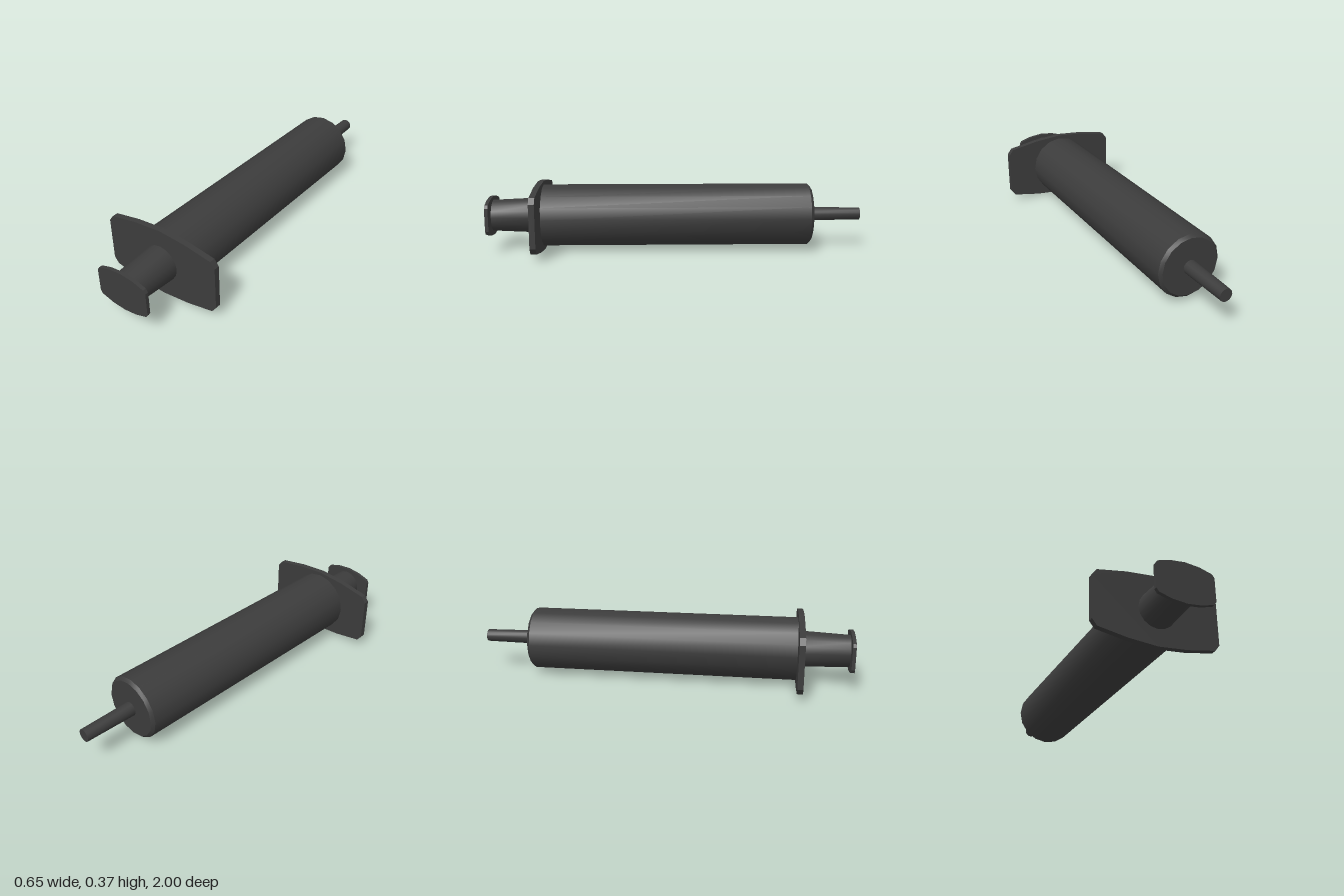
import * as THREE from 'three';
import { toCreasedNormals } from 'three/addons/utils/BufferGeometryUtils.js';

const AXIS_Y = 0.186;

export function createModel() {
  const group = new THREE.Group();
  const material = new THREE.MeshStandardMaterial({ color: 0x3c3c3c });

  const add = (name, geometry) => {
    const mesh = new THREE.Mesh(geometry, material);
    mesh.name = name;
    mesh.position.y = AXIS_Y;
    group.add(mesh);
  };

  // Round part along z, from [radius, z] pairs running back to front
  const turned = (profile, sides) => {
    const points = profile.map(([r, z]) => new THREE.Vector2(r, z));
    const geometry = new THREE.LatheGeometry(points, sides).rotateX(Math.PI / 2);
    return toCreasedNormals(geometry, 0.6);
  };

  // Plate with bowed top and bottom and clipped corners, from one quarter outline
  const plate = (quarter, z0, z1) => {
    const [top, ...rest] = quarter;
    const right = [...quarter, ...rest.map(([x, y]) => [x, -y]).reverse(), [top[0], -top[1]]];
    const left = right.slice(1, -1).map(([x, y]) => [-x, y]).reverse();
    const shape = new THREE.Shape([...right, ...left].map(([x, y]) => new THREE.Vector2(x, y)));
    return new THREE.ExtrudeGeometry(shape, { depth: z1 - z0, bevelEnabled: false }).translate(0, 0, z0);
  };

  // Barrel with a chamfered back end
  add('barrel', turned([[0, -0.725], [0.152, -0.725], [0.167, -0.71], [0.167, 0.72], [0, 0.72]], 16));

  // Slightly tapered nozzle
  add('nozzle', turned([[0, -1], [0.033, -1], [0.037, -0.72], [0, -0.72]], 16));

  // Finger flange at the front of the barrel
  add('fingerFlange', plate([[0, 0.185], [0.152, 0.172], [0.302, 0.145], [0.326, 0.113]], 0.71, 0.74));

  // Plunger, narrowing towards the thumb rest
  add('plunger', turned([[0, 0.73], [0.096, 0.73], [0.084, 0.985], [0, 0.985]], 16));

  // Thumb rest
  add('thumbRest', plate([[0, 0.104], [0.074, 0.096], [0.136, 0.077], [0.147, 0.06]], 0.982, 1));

  return group;
}
